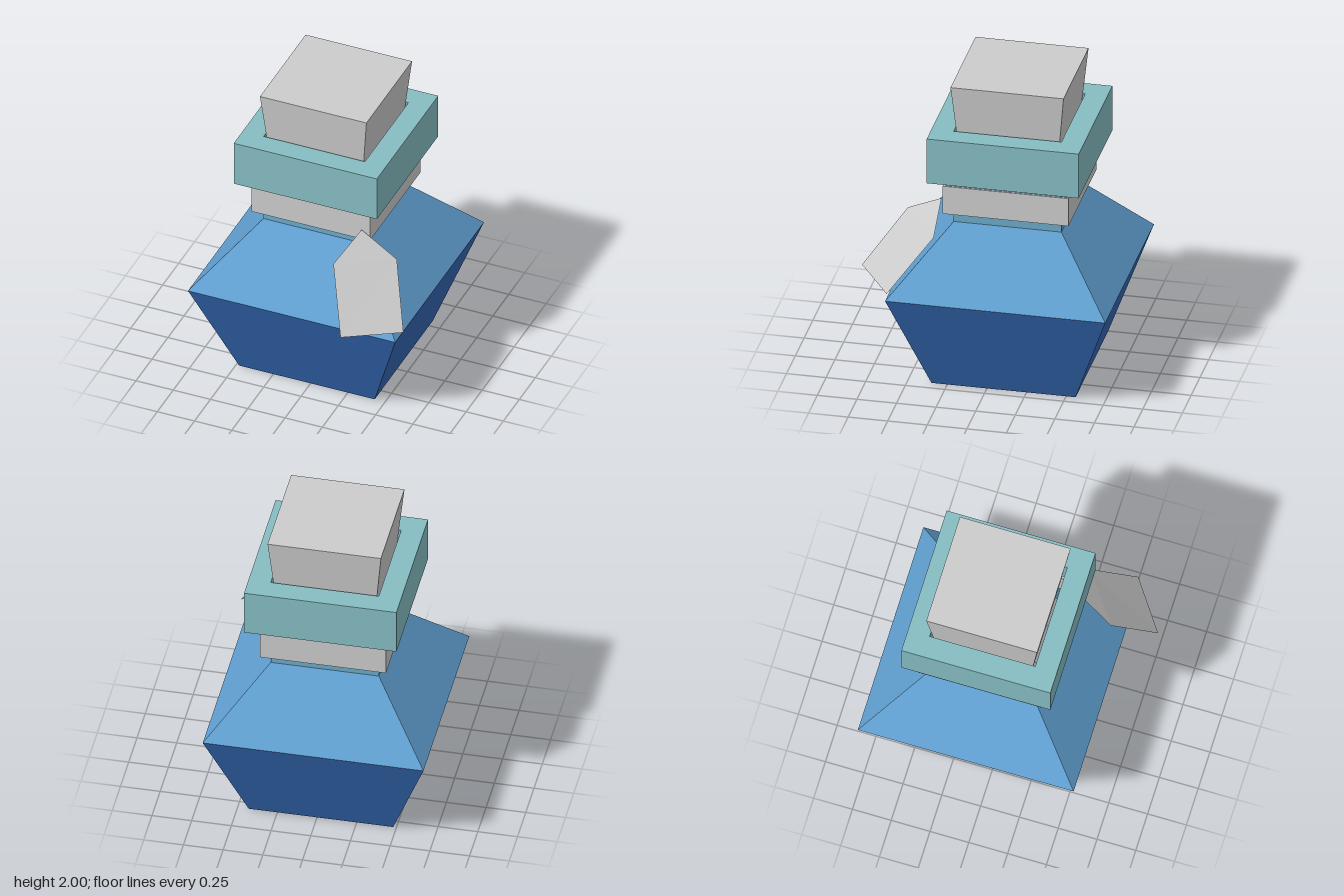
import * as THREE from 'three';

const GREY = 0xcccccc;

function material(color, side = THREE.FrontSide) {
  return new THREE.MeshStandardMaterial({ color, flatShading: true, side });
}

// Four-sided turned part: profile holds [half width, height] pairs, running upward on the outside
function squareTurned(name, color, profile) {
  const points = profile.map(([half, y]) => new THREE.Vector2(half * Math.SQRT2, y));
  const geometry = new THREE.LatheGeometry(points, 4, Math.PI / 4).toNonIndexed();
  geometry.computeVertexNormals();
  const mesh = new THREE.Mesh(geometry, material(color));
  mesh.name = name;
  return mesh;
}

// Thin five-cornered label leaning on the front left corner
function makeTag() {
  const corners = [
    [0.325, 1.228, 0.31], [0.235, 1.095, 0.542], [0.392, 0.75, 0.797],
    [0.717, 0.73, 0.57], [0.56, 1.07, 0.308],
  ];
  const geometry = new THREE.BufferGeometry();
  geometry.setAttribute('position', new THREE.Float32BufferAttribute(corners.flat(), 3));
  geometry.setIndex([0, 1, 4, 1, 2, 4, 2, 3, 4]);
  geometry.computeVertexNormals();
  const mesh = new THREE.Mesh(geometry, material(GREY, THREE.DoubleSide));
  mesh.name = 'tag';
  return mesh;
}

export function createModel() {
  const model = new THREE.Group();
  model.name = 'squareBottle';

  // Glass: base, shoulder, neck and lip with an opening for the stopper
  const bottle = new THREE.Group();
  bottle.name = 'bottle';
  bottle.add(
    squareTurned('lowerBody', 0x3468b4, [[0, 0], [0.455, 0], [0.695, 0.655]]),
    squareTurned('shoulder', 0x609fd0, [[0.695, 0.655], [0.34, 1.07]]),
    squareTurned('neck', 0x6ca9c8, [[0.34, 1.07], [0.34, 1.387]]),
    squareTurned('lip', 0x85bdc2, [
      [0.34, 1.387], [0.48, 1.387], [0.48, 1.692], [0.34, 1.692], [0.34, 1.5],
    ]),
  );

  // Hollow band standing slightly off the neck
  bottle.add(squareTurned('neckBand', GREY, [
    [0.383, 1.145], [0.397, 1.145], [0.397, 1.335], [0.383, 1.335], [0.383, 1.145],
  ]));

  // Tapered stopper, reaching down into the neck
  bottle.add(squareTurned('stopper', GREY, [
    [0, 1.5], [0.308, 1.5], [0.357, 2], [0, 2],
  ]));

  bottle.position.set(-0.025, 0, -0.105);
  model.add(bottle, makeTag());
  return model;
}
